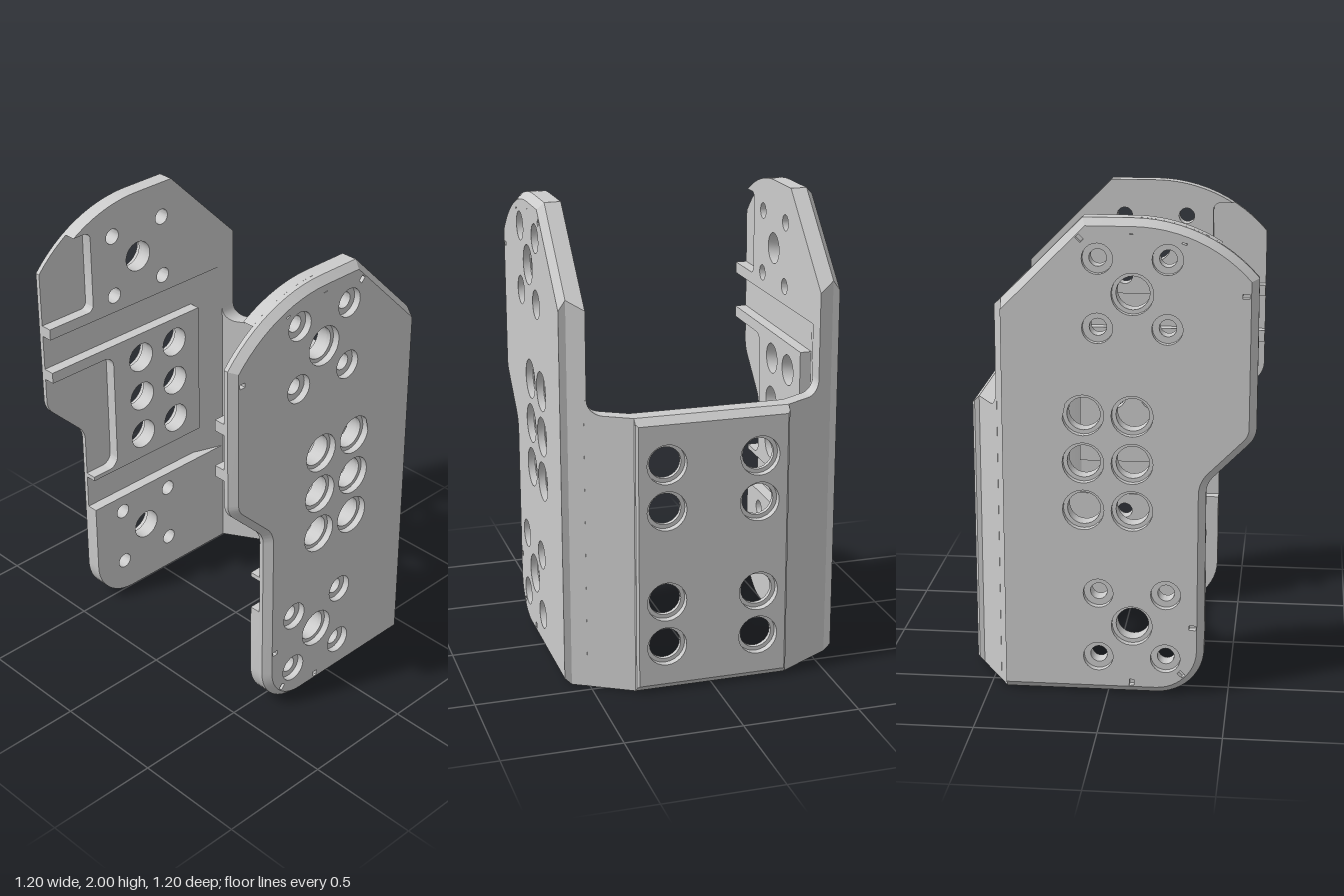
import * as THREE from 'three';
import { toCreasedNormals } from 'three/addons/utils/BufferGeometryUtils.js';

const SEG = 12;
const material = new THREE.MeshStandardMaterial({ color: 0xcccccc });

// Closed shape from [u, v, cornerRadius] points
function roundedShape(pts) {
  const shape = new THREE.Shape();
  pts.forEach(([x, y, r], i) => {
    const p = new THREE.Vector2(x, y);
    const prev = new THREE.Vector2(...pts[(i + pts.length - 1) % pts.length].slice(0, 2));
    const next = new THREE.Vector2(...pts[(i + 1) % pts.length].slice(0, 2));
    const go = (q) => (i ? shape.lineTo(q.x, q.y) : shape.moveTo(q.x, q.y));
    if (!r) return go(p);
    const a = prev.sub(p).normalize(), b = next.sub(p).normalize();
    const turn = Math.PI - Math.acos(a.dot(b));
    const t = r * Math.tan(turn / 2), k = t - r * (4 / 3) * Math.tan(turn / 4);
    const at = (d, l) => p.clone().addScaledVector(d, l);
    go(at(a, t));
    const c1 = at(a, k), c2 = at(b, k), e = at(b, t);
    shape.bezierCurveTo(c1.x, c1.y, c2.x, c2.y, e.x, e.y);
  });
  shape.closePath();
  return shape;
}

// Hole [u, v, radius], or a thin slot [u, v, halfLength, angle]
function holePath([x, y, r, angle]) {
  if (angle === undefined) return new THREE.Path().absarc(x, y, r, 0, Math.PI * 2, true);
  const c = Math.cos(angle), s = Math.sin(angle), w = 0.01;
  return roundedShape([[-r, -w], [r, -w], [r, w], [-r, w]].map(([a, b]) => [x + a * c - b * s, y + a * s + b * c]));
}

// Slab between depths w0 and w1 with holes;
// chamfer [du, dv] insets the outline of the far face
function slab(pts, holes, w0, w1, chamfer) {
  const shape = roundedShape(pts);
  shape.holes = holes.map(holePath);
  const geo = new THREE.ExtrudeGeometry(shape, { depth: w1 - w0, bevelEnabled: false, curveSegments: SEG });
  geo.translate(0, 0, w0);
  if (chamfer) {
    const key = (x, y) => x.toFixed(4) + ',' + y.toFixed(4);
    let line = shape.getPoints(SEG);
    line = line.filter((p, i) => p.distanceTo(line[(i + 1) % line.length]) > 1e-5);
    const moved = new Map();
    line.forEach((p, i) => {
      const d1 = p.clone().sub(line[(i + line.length - 1) % line.length]).normalize();
      const d2 = line[(i + 1) % line.length].clone().sub(p).normalize();
      const s = 1 / (1 + d1.dot(d2));
      moved.set(key(p.x, p.y), [p.x - (d1.y + d2.y) * s * chamfer[0], p.y + (d1.x + d2.x) * s * chamfer[1]]);
    });
    const pos = geo.attributes.position;
    for (let i = 0; i < pos.count; i++) {
      const q = moved.get(key(pos.getX(i), pos.getY(i)));
      if (q && pos.getZ(i) > w1 - 1e-4) pos.setXY(i, q[0], q[1]);
    }
  }
  return geo;
}

// Side plates are drawn as (z, y) and stand at x = depth
function sideSlab(pts, holes, w0, w1, chamfer) {
  const outline = pts.map(([z, y, r]) => [-z, y, r]).reverse();
  const cuts = holes.map(([z, y, r, angle]) => [-z, y, r, angle === undefined ? angle : -angle]);
  // drawn clockwise in (z, y) so that it runs counter-clockwise once flipped
  const geo = slab(outline, cuts, w0, w1, chamfer).rotateY(Math.PI / 2);
  const pos = geo.attributes.position;
  // slant the rear edge in line with the angled wall
  for (let i = 0; i < pos.count; i++) {
    const z = pos.getZ(i), y = pos.getY(i);
    const limit = Math.min(-0.43, -0.471 + (pos.getX(i) - 0.5) * 0.583);
    if (z < limit) pos.setXYZ(i, pos.getX(i), y > 1.6 ? y + limit - z : y, limit);
  }
  return geo;
}

function mirrorX(source) {
  const geo = source.clone().scale(-1, 1, 1);
  const pos = geo.attributes.position, a = new THREE.Vector3(), b = new THREE.Vector3();
  for (let i = 0; i < pos.count; i += 3) {
    a.fromBufferAttribute(pos, i + 1);
    b.fromBufferAttribute(pos, i + 2);
    pos.setXYZ(i + 1, b.x, b.y, b.z);
    pos.setXYZ(i + 2, a.x, a.y, a.z);
  }
  return geo;
}

function add(group, name, geo) {
  geo.deleteAttribute('normal');
  const mesh = new THREE.Mesh(toCreasedNormals(geo, 0.5), material);
  mesh.name = name;
  group.add(mesh);
}

// Rounded top front edge of a side plate, from a start angle to the crown
const crown = (start) => Array.from({ length: 13 }, (_, i) => {
  const a = THREE.MathUtils.degToRad(start + ((90 - start) * i) / 12);
  return [0.1 + 0.658 * Math.cos(a), 1.342 + 0.658 * Math.sin(a)];
});

export function createModel() {
  const model = new THREE.Group();
  model.name = 'bracket';
  const R = 0.068, RIM = 0.085, r = 0.035, rim = 0.062;
  const widen = (h) => [h[0], h[1], h[2] === R ? RIM : rim];

  // Hole patterns and edge marks
  const cluster = (y) => [[0.1, y, R],
    ...[-0.04, 0.24].flatMap((z) => [[z, y - 0.14, r], [z, y + 0.14, r]])];
  const low = cluster(0.3), high = cluster(1.7);
  const mid = [0.8, 1, 1.2].flatMap((y) => [[0.1, y, R], [-0.1, y, R]]);
  const all = [...low, ...mid, ...high];
  const marks = [[0.55, 1.7, 0], [0.352, 0.3, 0], [0.1, 0.048, Math.PI / 2], [0.1, 1.952, Math.PI / 2],
    [0.309, 1.915, 1.22], [-0.11, 1.92, 2.356], [0.307, 0.093, -0.785]].map(([z, y, a]) => [z, y, 0.014, a]);

  // Side plates: chamfered skin, core, and raised lands on the inside
  const outline = [[-0.47, 0], [0.4, 0, 0.2], [0.4, 0.92, 0.1], [0.6, 1.12, 0.1],
    ...crown(40.54), [-0.1, 2], [-0.47, 1.63]];
  const upper = [[-0.47, 1.48], [0.6, 1.48], [0.6, 1.53], [0.36, 1.53, 0.03], [0.36, 1.9, 0.03],
    ...crown(58), [-0.1, 2], [-0.47, 1.63]];
  const middle = [[-0.25, 0.68], [0.4, 0.68], [0.4, 0.7], [0.26, 0.7, 0.05], [0.26, 1.27, 0.05],
    [0.6, 1.27], [0.6, 1.32], [-0.25, 1.32]];
  const lower = [[-0.47, 0], [0.4, 0, 0.2], [0.4, 0.52], [-0.47, 0.52]];
  const ramp = [[-0.47, 0.52], [-0.39, 0.52], [-0.39, 1.48], [-0.47, 1.48]];
  const sideParts = {
    outerSkin: sideSlab(outline, [...all.map(widen), ...marks], 0.57, 0.6, [0.03, 0.03]),
    core: sideSlab(outline, all, 0.55, 0.57),
    upperLand: sideSlab(upper, high, 0.5, 0.55),
    middleLand: sideSlab(middle, mid, 0.5, 0.55),
    lowerLand: sideSlab(lower, low, 0.5, 0.55),
    rearRamp: sideSlab(ramp, [], 0.5, 0.55, [-0.14, 0]),
  };

  // Angled wall between side plate and back panel, filleted up to the plate
  const wall = slab([[0.33, 0], [0.51, 0], [0.51, 1.26], [0.5, 1.26], [0.5, 1.2, 0.06], [0.33, 1.2]], [], 0, 1);
  const pos = wall.attributes.position;
  for (let i = 0; i < pos.count; i++) {
    const dx = pos.getX(i) - 0.33;
    pos.setZ(i, pos.getZ(i) > 0.5 ? -0.5 + dx * 0.588 : -0.57 + dx * 0.583);
  }
  sideParts.angledWall = wall;

  for (const side of ['left', 'right']) {
    const group = new THREE.Group();
    group.name = side + 'Side';
    for (const [name, geo] of Object.entries(sideParts)) {
      add(group, name, side === 'left' ? geo.clone() : mirrorX(geo));
    }
    model.add(group);
  }

  // Back panel: chamfered pad, core, frame and stepped inner rib
  const back = new THREE.Group();
  back.name = 'backPanel';
  const rect = (w, y0, y1) => [[-w, y0], [w, y0], [w, y1], [-w, y1]];
  const backHoles = [0.2, 0.4, 0.8, 1].flatMap((y) => [[-0.2, y, R], [0.2, y, R]]);
  const rims = backHoles.map(widen);
  const half = [[0.3, 0.05], [0.3, 0.1], [0.1, 0.1, 0.05], [0.1, 0.5, 0.05], [0.3, 0.5],
    [0.3, 0.7], [0.1, 0.7, 0.05], [0.1, 1.1, 0.05], [0.3, 1.1], [0.3, 1.15]];
  const rib = [...half, ...half.map(([x, y, c]) => [-x, y, c]).reverse()];
  const turn = (geo) => geo.rotateY(Math.PI);
  add(back, 'outerPad', turn(slab(rect(0.33, 0, 1.2), rims, 0.57, 0.59, [0, 0.02])));
  add(back, 'outerPadEdge', turn(slab(rect(0.33, 0.02, 1.18), rims, 0.59, 0.6, [0.01, 0.01])));
  add(back, 'core', turn(slab(rect(0.33, 0, 1.2), backHoles, 0.55, 0.57)));
  const frame = roundedShape(rect(0.33, 0, 1.2));
  frame.holes.push(roundedShape(rect(0.3, 0.05, 1.15)));
  add(back, 'innerFrame', turn(new THREE.ExtrudeGeometry(frame, { depth: 0.05, bevelEnabled: false }).translate(0, 0, 0.5)));
  add(back, 'innerRib', turn(slab(rib, [], 0.52, 0.55)));
  model.add(back);
  return model;
}
